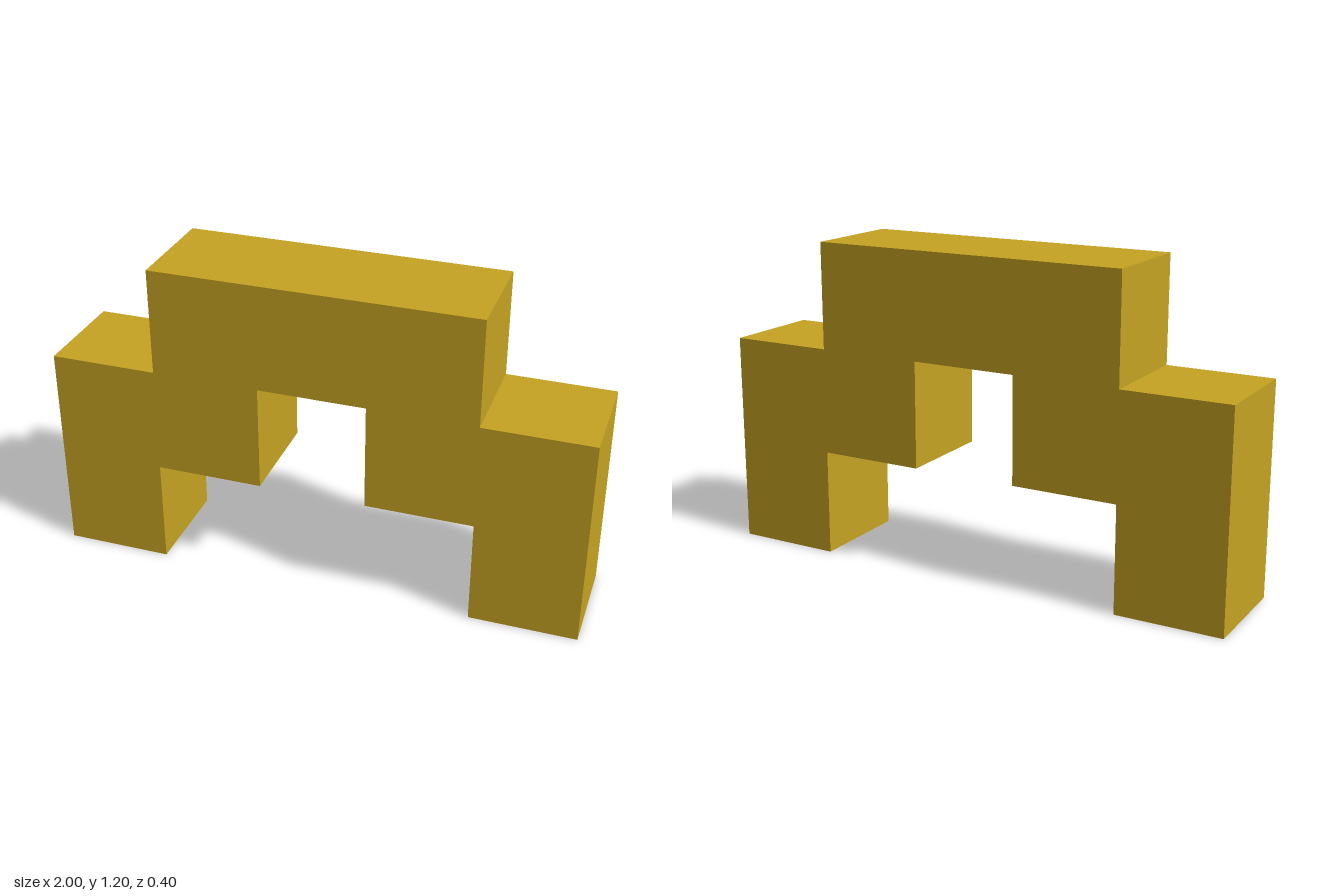
import * as THREE from 'three';

// Stepped block arch: one mirrored silhouette extruded to an even depth
export function createModel() {
  const group = new THREE.Group();
  group.name = 'steppedArch';

  const gold = new THREE.MeshStandardMaterial({ color: 0xc6a422 });
  gold.name = 'gold';

  // Right half of the outline, from the underside of the span round to its top
  const half = [
    [0.2, 0.8], [0.2, 0.4], [0.6, 0.4], [0.6, 0],
    [1, 0], [1, 0.8], [0.6, 0.8], [0.6, 1.2],
  ];
  const mirrored = half.map(([x, y]) => [-x, y]).reverse();
  const outline = [...half, ...mirrored].map(([x, y]) => new THREE.Vector2(x, y));

  const depth = 0.4;
  const geometry = new THREE.ExtrudeGeometry(new THREE.Shape(outline), {
    depth,
    bevelEnabled: false,
  });
  geometry.translate(0, 0, -depth / 2);

  const arch = new THREE.Mesh(geometry, gold);
  arch.name = 'archBody';
  group.add(arch);
  return group;
}
